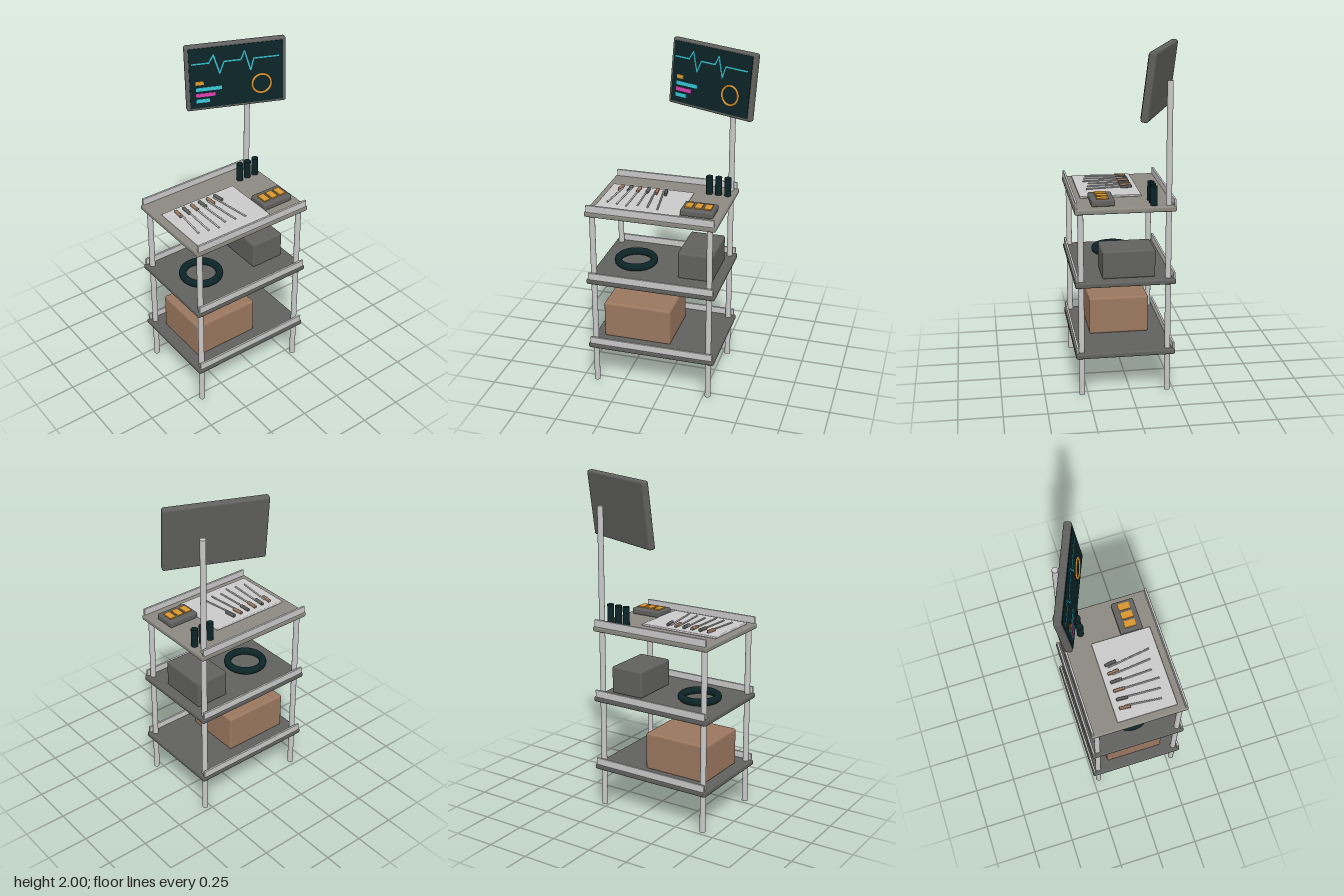
import * as THREE from 'three';
import { RoundedBoxGeometry } from 'three/addons/geometries/RoundedBoxGeometry.js';

const mat = (name, color) => {
  const m = new THREE.MeshStandardMaterial({ color });
  m.name = name;
  return m;
};

export function createModel() {
  const root = new THREE.Group();
  root.name = 'toolCart';

  const metal = mat('pale metal', 0xc9c9c9);
  const dark = mat('dark grey', 0x60605e);
  const stone = mat('warm grey', 0x8b8981);
  const brown = mat('tan brown', 0x9a775f);
  const ink = mat('dark teal', 0x0c2427);
  const amber = mat('amber', 0xd8952f);
  const cyan = mat('cyan', 0x35c4d4);
  const pink = mat('magenta', 0xd63fae);

  const add = (parent, name, geometry, material, x = 0, y = 0, z = 0) => {
    const mesh = new THREE.Mesh(geometry, material);
    mesh.name = name;
    mesh.position.set(x, y, z);
    parent.add(mesh);
    return mesh;
  };
  const box = (w, h, d) => new THREE.BoxGeometry(w, h, d);
  const round = (w, h, d, r) => new RoundedBoxGeometry(w, h, d, 3, r);

  // Shelves with a raised lip along the front and back
  const cx = -0.066, cz = 0.032;
  for (const [name, top, material] of [['bottomShelf', 0.265, dark], ['middleShelf', 0.695, dark], ['topShelf', 1.125, stone]]) {
    add(root, name, round(0.768, 0.032, 0.575, 0.01), material, cx, top - 0.016, cz);
    for (const s of [1, -1])
      add(root, 'shelfLip', round(0.748, 0.05, 0.013, 0.003), metal, cx, top + 0.015, cz + s * 0.277);
  }

  // Posts; the back left one carries on up as the screen mast
  for (const x of [-0.413, 0.278]) {
    for (const z of [0.284, -0.215]) {
      const mast = x > 0 && z < 0;
      const h = mast ? 1.823 : 1.11;
      add(root, mast ? 'mast' : 'post', new THREE.CylinderGeometry(0.017, 0.017, h, 16), metal, x, h / 2, z);
    }
  }

  // Cargo on the lower shelves
  add(root, 'storageBox', round(0.41, 0.225, 0.355, 0.012), brown, -0.18, 0.3775, 0.033);
  add(root, 'equipmentCase', round(0.21, 0.165, 0.305, 0.012), dark, 0.16, 0.7775, 0.008);
  add(root, 'cableCoil', new THREE.TorusGeometry(0.108, 0.022, 12, 40), ink, -0.235, 0.717, 0.035).rotation.x = Math.PI / 2;

  // Tool tray and its row of hand tools
  add(root, 'toolTray', round(0.495, 0.013, 0.356, 0.005), metal, -0.163, 1.131, 0.087);
  [-0.1, -0.045, 0, 0.045, 0.105, 0.15].forEach((angle, i) => {
    const tool = new THREE.Group();
    tool.name = 'tool';
    tool.position.set(-0.341 + i * 0.055, 1.145, 0);
    const length = 0.21 + (i % 3) * 0.025;
    const shaft = add(tool, 'toolShaft', new THREE.CylinderGeometry(0.0048, 0.0048, length, 10), metal, 0, 0, 0.085);
    shaft.rotation.set(Math.PI / 2, angle, 0, 'YXZ');
    const handle = add(tool, 'toolHandle', round(0.017, 0.017, 0.068, 0.005), i % 2 ? dark : brown, 0, 0.002, -0.024);
    handle.rotation.y = angle;
    root.add(tool);
  });

  // Parts bin with three amber inserts
  add(root, 'partsBin', round(0.192, 0.038, 0.134, 0.01), dark, 0.181, 1.145, 0.155);
  for (const i of [-1, 0, 1])
    add(root, 'binInsert', box(0.041, 0.008, 0.067), amber, 0.181 + i * 0.0555, 1.167, 0.155);

  // Canisters beside the mast
  for (const x of [0.167, 0.222, 0.277])
    add(root, 'canister', new THREE.CylinderGeometry(0.02, 0.02, 0.11, 18), ink, x, 1.18, -0.13);

  // Monitor, turned and tilted back
  const monitor = new THREE.Group();
  monitor.name = 'monitor';
  monitor.position.set(0.167, 1.81, -0.177);
  monitor.rotation.set(-0.125, -0.39, 0, 'YXZ');
  root.add(monitor);
  add(monitor, 'monitorCase', round(0.576, 0.38, 0.042, 0.012), dark);
  add(monitor, 'screen', box(0.538, 0.348, 0.006), ink, 0, 0, 0.022);

  // Pulse trace drawn as short flat bars between points
  const trace = [[-0.254, 0.087], [-0.156, 0.087], [-0.13, 0.132], [-0.096, 0.022], [-0.07, 0.087],
    [0.026, 0.087], [0.047, 0.136], [0.081, 0.022], [0.1, 0.087], [0.244, 0.087]];
  for (let i = 1; i < trace.length; i++) {
    const [x0, y0] = trace[i - 1], [x1, y1] = trace[i];
    const bar = add(monitor, 'pulseTrace', box(Math.hypot(x1 - x0, y1 - y0) + 0.004, 0.008, 0.004), cyan,
      (x0 + x1) / 2, (y0 + y1) / 2, 0.026);
    bar.rotation.z = Math.atan2(y1 - y0, x1 - x0);
  }

  // Status bars and ring gauge
  for (const [y, w, material] of [[-0.026, 0.046, amber], [-0.063, 0.148, cyan], [-0.097, 0.11, pink], [-0.131, 0.078, cyan]])
    add(monitor, 'statusBar', box(w, 0.021, 0.004), material, -0.235 + w / 2, y, 0.026);
  add(monitor, 'ringGauge', new THREE.TorusGeometry(0.054, 0.0065, 8, 40), amber, 0.143, -0.066, 0.027);

  return root;
}
